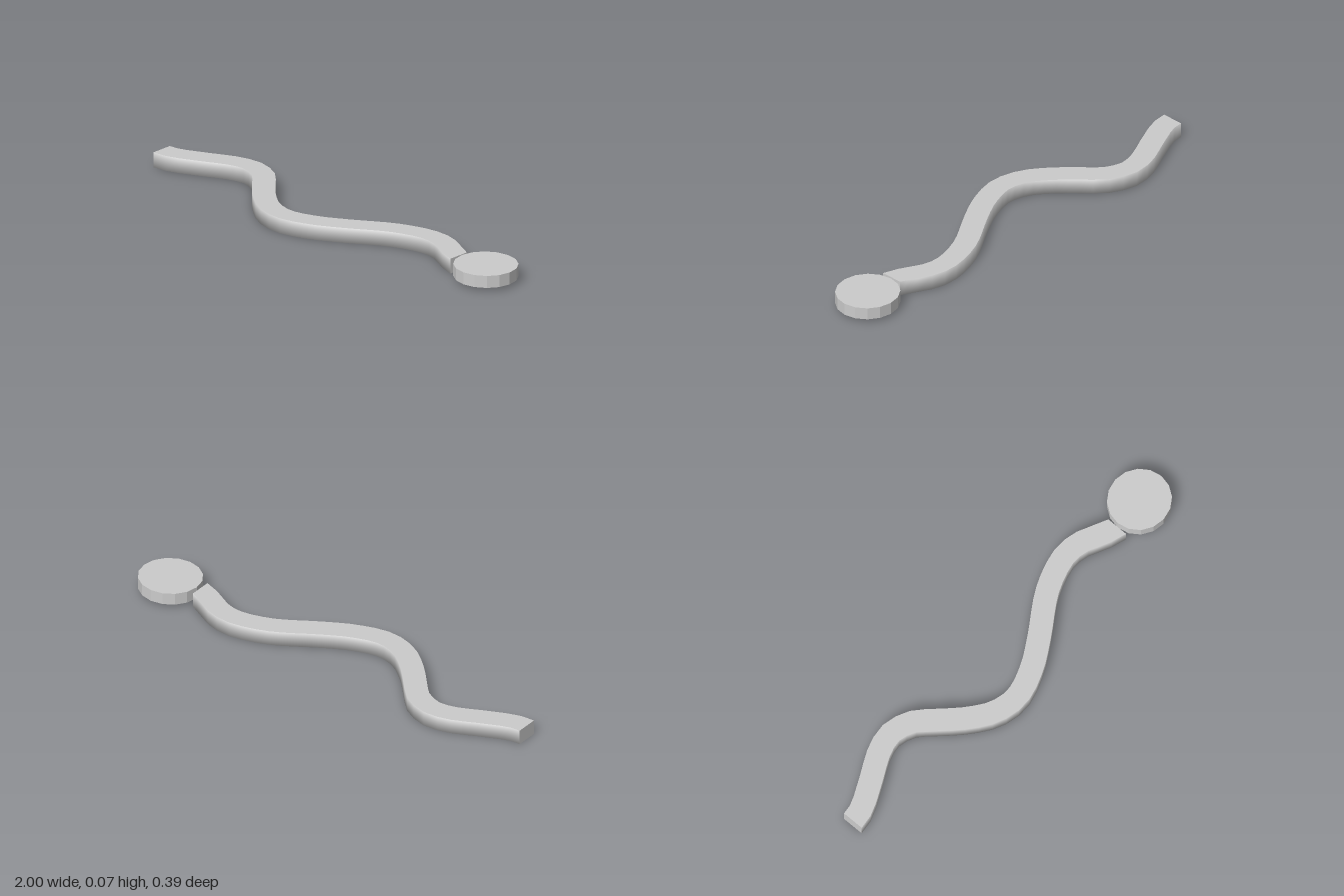
import * as THREE from 'three';

const HALF_WIDTH = 0.049, HEIGHT = 0.067, SEGMENTS = 36;

// Winding centreline of the body, as [x, z]
const PATH = [
  [-1, -0.013], [-0.94, -0.02], [-0.82, -0.072], [-0.69, -0.133], [-0.6, -0.148],
  [-0.5, -0.11], [-0.44, -0.05], [-0.34, 0.05], [-0.24, 0.12], [-0.13, 0.143],
  [0.005, 0.105], [0.125, 0.04], [0.315, -0.075], [0.475, -0.118],
  [0.57, -0.101], [0.64, -0.064], [0.71, -0.036],
];

// Cross-section corners [side, y], walked front bottom, front top, back top, back bottom
const CORNERS = [[1, 0], [1, HEIGHT], [-1, HEIGHT], [-1, 0]];

function bodyGeometry() {
  const curve = new THREE.CatmullRomCurve3(PATH.map(([x, z]) => new THREE.Vector3(x, 0, z)));
  const positions = [], normals = [], indices = [];
  const rings = [];
  for (let i = 0; i <= SEGMENTS; i++) {
    const p = curve.getPointAt(i / SEGMENTS);
    const t = curve.getTangentAt(i / SEGMENTS);
    // Both ends are cut square to the x axis
    if (i === 0 || i === SEGMENTS) t.set(1, 0, 0);
    rings.push({ p, side: new THREE.Vector3(-t.z, 0, t.x) });
  }
  const addCorner = ({ p, side }, [s, y], normal) => {
    positions.push(p.x + side.x * s * HALF_WIDTH, y, p.z + side.z * s * HALF_WIDTH);
    normals.push(normal.x, normal.y, normal.z);
  };

  // Four strips: softly shaded flanks, flat top and bottom
  CORNERS.forEach((a, k) => {
    const b = CORNERS[(k + 1) % 4];
    const start = positions.length / 3;
    const flank = a[0] === b[0];
    rings.forEach((ring, i) => {
      for (const c of [a, b]) {
        const up = c[1] > 0 ? 1 : -1;
        const n = new THREE.Vector3(0, up, 0);
        if (flank) n.set(ring.side.x * c[0], 0.7 * up, ring.side.z * c[0]).normalize();
        addCorner(ring, c, n);
      }
      if (i < SEGMENTS) {
        const q = start + i * 2;
        indices.push(q, q + 2, q + 3, q, q + 3, q + 1);
      }
    });
  });

  // End caps
  [[rings[0], -1], [rings[SEGMENTS], 1]].forEach(([ring, dir]) => {
    const q = positions.length / 3;
    CORNERS.forEach((c) => addCorner(ring, c, new THREE.Vector3(dir, 0, 0)));
    if (dir < 0) indices.push(q, q + 1, q + 2, q, q + 2, q + 3);
    else indices.push(q, q + 2, q + 1, q, q + 3, q + 2);
  });

  const geometry = new THREE.BufferGeometry();
  geometry.setAttribute('position', new THREE.Float32BufferAttribute(positions, 3));
  geometry.setAttribute('normal', new THREE.Float32BufferAttribute(normals, 3));
  geometry.setIndex(indices);
  return geometry;
}

export function createModel() {
  const model = new THREE.Group();
  model.name = 'windingBodyWithDisc';

  const body = new THREE.Mesh(bodyGeometry(), new THREE.MeshStandardMaterial({ color: 0xcccccc }));
  body.name = 'body';

  // Flat faceted disc at the tip
  const disc = new THREE.Mesh(
    new THREE.CylinderGeometry(0.139, 0.139, 0.054, 16),
    new THREE.MeshStandardMaterial({ color: 0xcccccc, flatShading: true }),
  );
  disc.name = 'headDisc';
  disc.scale.z = 0.965;
  disc.position.set(0.861, 0.044, -0.044);

  model.add(body, disc);
  return model;
}
